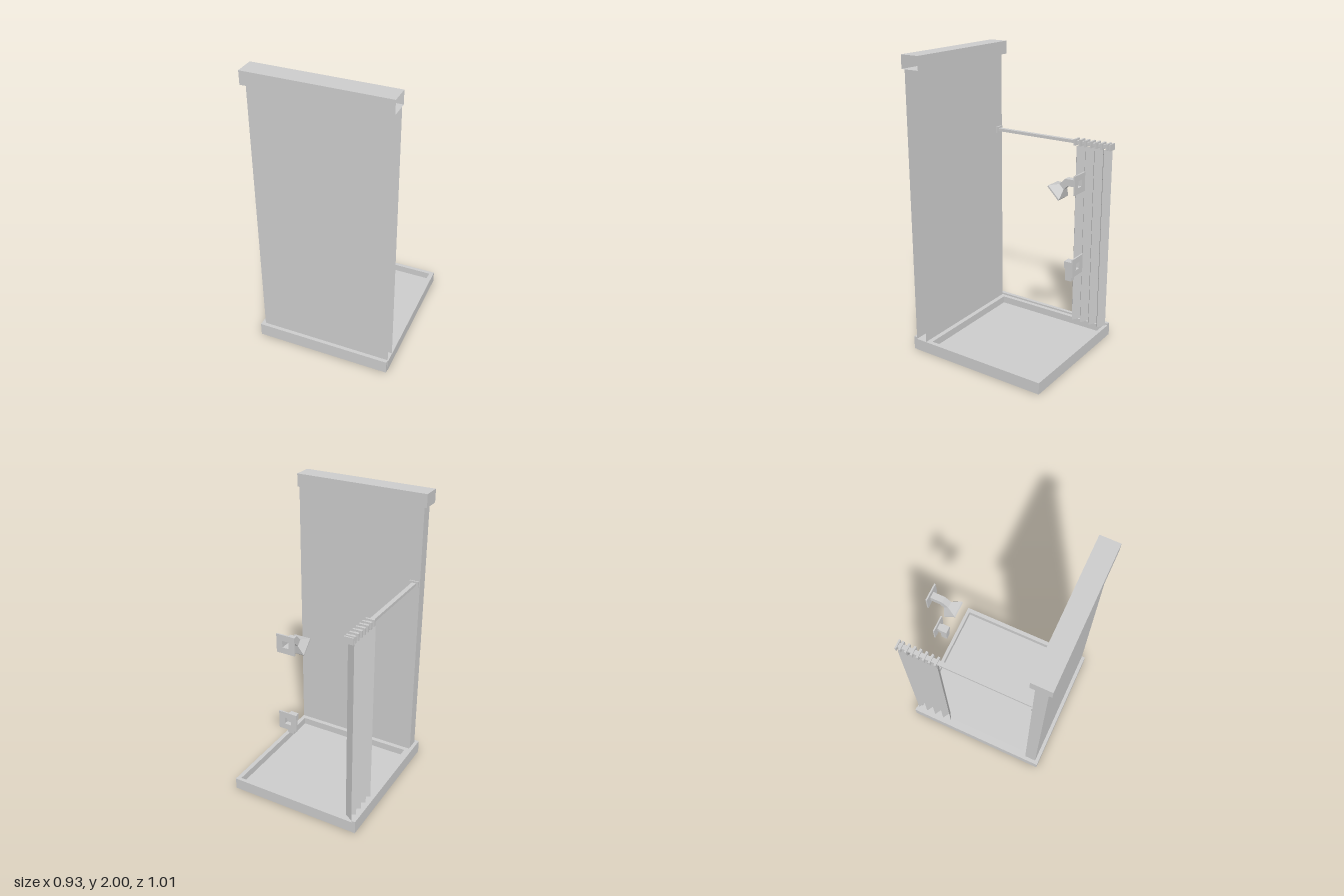
import * as THREE from 'three';

const material = new THREE.MeshStandardMaterial({ color: 0xcccccc, flatShading: true, side: THREE.DoubleSide });

export function createModel() {
  const group = new THREE.Group();

  const add = (name, geometry) => {
    const mesh = new THREE.Mesh(geometry, material);
    mesh.name = name;
    group.add(mesh);
    return mesh;
  };

  // Box given by its minimum and maximum corners; openRight leaves out the +x face
  const box = (name, x0, x1, y0, y1, z0, z1, openRight = false) => {
    const g = new THREE.BoxGeometry(x1 - x0, y1 - y0, z1 - z0);
    if (openRight) g.setIndex(Array.from(g.index.array).slice(6));
    g.translate((x0 + x1) / 2, (y0 + y1) / 2, (z0 + z1) / 2);
    return add(name, g);
  };

  // Open tube with rectangular sections [z, y, angle, width, height] along a path in the yz plane
  const loft = (name, x, sections) => {
    const rings = sections.map(([z, y, a, w, h = w]) =>
      [[-1, -1], [1, -1], [1, 1], [-1, 1]].map(([u, v]) => [
        x + u * w / 2, y + v * h / 2 * Math.cos(a), z - v * h / 2 * Math.sin(a)]));
    const pos = [];
    for (let i = 0; i < rings.length - 1; i++) {
      for (let k = 0; k < 4; k++) {
        const n = (k + 1) % 4;
        const [a, b, c, d] = [rings[i][k], rings[i][n], rings[i + 1][n], rings[i + 1][k]];
        pos.push(...a, ...b, ...c, ...a, ...c, ...d);
      }
    }
    const g = new THREE.BufferGeometry();
    g.setAttribute('position', new THREE.Float32BufferAttribute(pos, 3));
    g.computeVertexNormals();
    return add(name, g);
  };

  const rect = (Type, x0, x1, y0, y1) => new Type([[x0, y0], [x1, y0], [x1, y1], [x0, y1]]
    .map(([x, y]) => new THREE.Vector2(x, y)));

  // Plate with a rectangular opening, lying in the xy plane
  const frame = (outer, inner, depth) => {
    const shape = rect(THREE.Shape, ...outer);
    shape.holes.push(rect(THREE.Path, ...inner));
    return new THREE.ExtrudeGeometry(shape, { depth, bevelEnabled: false });
  };

  // Shower tray: raised rim around a sunken floor
  const rim = frame([-0.44, 0.465, -0.48, 0.505], [-0.41, 0.435, -0.367, 0.48], 0.08);
  rim.rotateX(-Math.PI / 2);
  add('trayRim', rim);
  box('trayFloor', -0.44, 0.465, 0, 0.03, -0.505, 0.48);

  // Skirting along the front and one side
  box('frontSkirting', -0.465, 0.463, 0, 0.092, 0.48, 0.505);
  box('sideSkirting', -0.465, -0.44, 0, 0.092, -0.505, 0.48);

  // Wall and its capping, both open at one end
  box('wall', -0.44, 0.463, 0.08, 1.912, 0.4, 0.48, true);
  box('wallCap', -0.465, 0.463, 1.912, 2, 0.375, 0.505, true);

  // Curtain rail with end flanges and rings
  const railX = -0.401, railY = 1.386;
  box('curtainRail', railX - 0.015, railX + 0.015, railY - 0.01, railY + 0.01, -0.505, 0.4);
  const collar = (name, z, t) => box(name, railX - 0.031, railX + 0.031,
    railY - 0.022, railY + 0.022, z - t / 2, z + t / 2);
  collar('railFlange', 0.395, 0.01);
  collar('railFlange', -0.5, 0.01);
  for (let i = 0; i < 7; i++) collar('curtainRing', -0.237 - i * 0.0397, 0.014);

  // Pleated curtain: a plane folded in a zigzag
  const folds = 8;
  const curtain = new THREE.PlaneGeometry(0.27, 1.285, folds, 1);
  curtain.rotateY(Math.PI / 2);
  const p = curtain.attributes.position;
  for (let i = 0; i < p.count; i++) {
    p.setX(i, railX + ((i % (folds + 1)) % 2 ? 0.029 : -0.029));
  }
  curtain.translate(0, 0.08 + 1.285 / 2, -0.355);
  add('curtain', curtain.toNonIndexed()).geometry.computeVertexNormals();

  // Square mounting plates with a pipe opening
  const fx = 0.021, pipe = 0.044;
  for (const y of [1.247, 0.703]) {
    const plate = frame([-0.0625, 0.0625, -0.061, 0.061],
      [-pipe / 2, pipe / 2, -pipe / 2, pipe / 2], 0.01);
    plate.translate(fx, y, -0.505);
    add('mountingPlate', plate);
  }

  // Shower arm bending down into a flared head
  const down = -Math.PI / 4;
  loft('showerArm', fx, [
    [-0.505, 1.247, 0, pipe],
    [-0.421, 1.247, down / 2, pipe, pipe / Math.cos(down / 2)],
    [-0.387, 1.213, down, pipe]]);
  loft('showerHead', fx, [
    [-0.387, 1.213, down, pipe],
    [-0.352, 1.178, down, 0.112],
    [-0.345, 1.171, down, 0.112]]);
  const face = add('showerHeadFace', new THREE.PlaneGeometry(0.112, 0.112));
  face.position.set(fx, 1.171, -0.345);
  face.rotation.x = -down;

  // Tap: short arm from the plate, with a spout pointing down
  loft('tapArm', fx, [
    [-0.505, 0.703, 0, pipe],
    [-0.475, 0.703, 0, pipe]]);
  box('tapBody', fx - 0.027, fx + 0.027, 0.68, 0.725, -0.478, -0.421);
  loft('tapSpout', fx, [
    [-0.449, 0.68, -Math.PI / 2, pipe],
    [-0.449, 0.594, -Math.PI / 2, pipe]]);

  return group;
}
